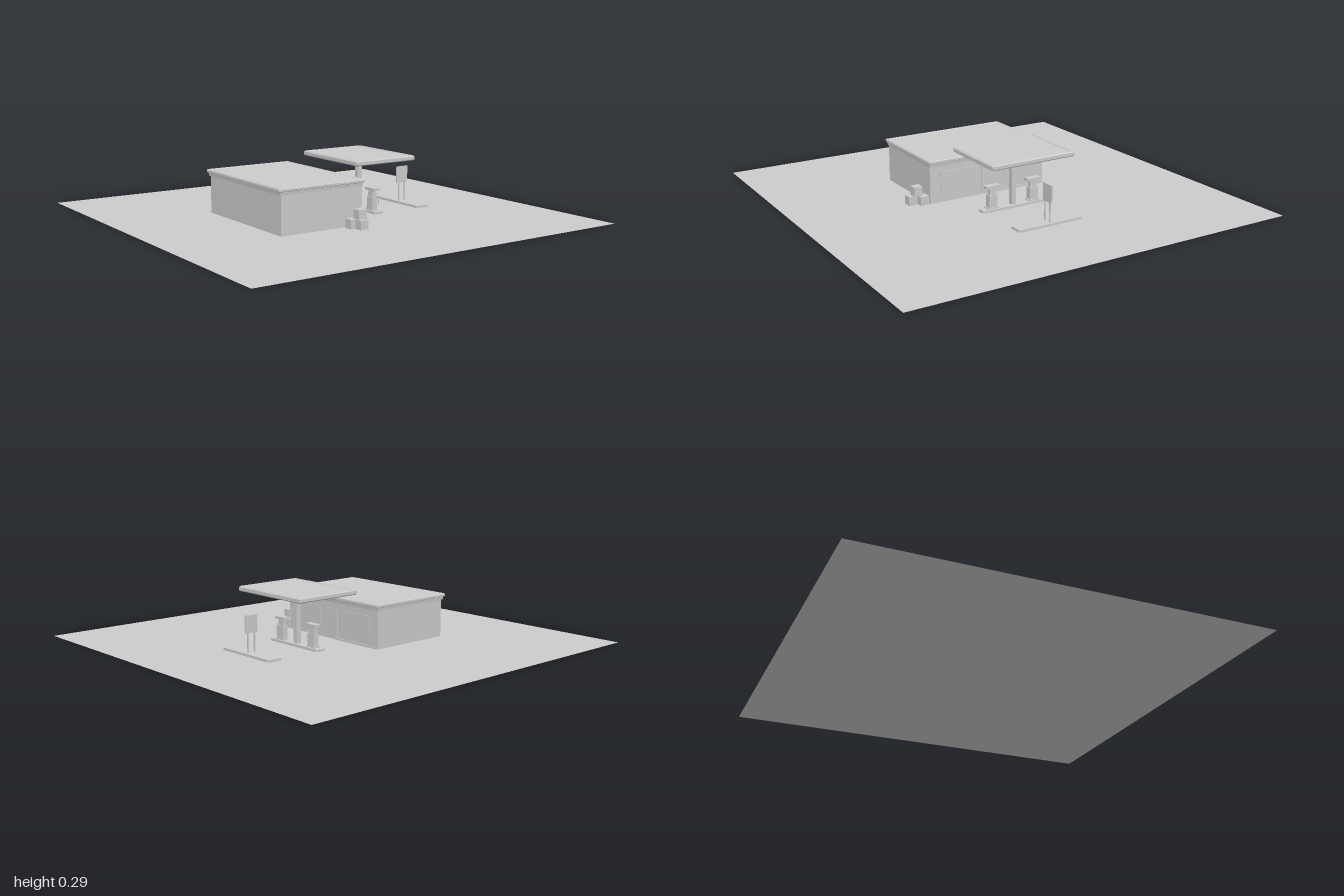
import * as THREE from 'three';

const grey = new THREE.MeshStandardMaterial({ color: 0xcccccc, flatShading: true, side: THREE.DoubleSide });

function add(parent, name, geometry) {
  const mesh = new THREE.Mesh(geometry, grey);
  mesh.name = name;
  parent.add(mesh);
  return mesh;
}

// Box given by its lower and upper limits on each axis
function box(parent, name, x0, x1, y0, y1, z0, z1) {
  const mesh = add(parent, name, new THREE.BoxGeometry(x1 - x0, y1 - y0, z1 - z0));
  mesh.position.set((x0 + x1) / 2, (y0 + y1) / 2, (z0 + z1) / 2);
  return mesh;
}

// Rectangular slab whose edge follows a profile of [inset, y] steps, closed at both ends
function moulding(x0, x1, z0, z1, profile) {
  const pos = [], idx = [];
  for (const [i, y] of profile) {
    pos.push(x0 + i, y, z1 - i, x1 - i, y, z1 - i, x1 - i, y, z0 + i, x0 + i, y, z0 + i);
  }
  for (let r = 0; r < profile.length - 1; r++) {
    for (let k = 0; k < 4; k++) {
      const a = r * 4 + k, b = r * 4 + (k + 1) % 4;
      idx.push(a, b, b + 4, a, b + 4, a + 4);
    }
  }
  const t = (profile.length - 1) * 4;
  idx.push(0, 2, 1, 0, 3, 2, t, t + 1, t + 2, t, t + 2, t + 3);
  const g = new THREE.BufferGeometry();
  g.setAttribute('position', new THREE.Float32BufferAttribute(pos, 3));
  g.setIndex(idx);
  const flat = g.toNonIndexed();
  flat.computeVertexNormals();
  return flat;
}

// Low kerbed island with chamfered corners
function island(parent, name, x0, x1, z0, z1, h) {
  const c = 0.008;
  const s = new THREE.Shape([
    [x0 + c, z0], [x1 - c, z0], [x1, z0 + c], [x1, z1 - c],
    [x1 - c, z1], [x0 + c, z1], [x0, z1 - c], [x0, z0 + c],
  ].map(([x, z]) => new THREE.Vector2(x, -z)));
  const g = new THREE.ExtrudeGeometry(s, { depth: h, bevelEnabled: false });
  add(parent, name, g.rotateX(-Math.PI / 2));
}

function pump(z) {
  const p = new THREE.Group();
  p.name = 'fuelPump';
  box(p, 'pumpPlinth', 0.197, 0.235, 0.01, 0.018, -0.03, 0.03);
  box(p, 'pumpBody', 0.2, 0.23, 0.018, 0.08, -0.023, 0.023);
  box(p, 'pumpDisplay', 0.205, 0.225, 0.08, 0.113, -0.018, 0.018);
  box(p, 'pumpHeader', 0.198, 0.232, 0.113, 0.126, -0.037, 0.037);
  // Hose hanging from the header to the body
  const curve = new THREE.CatmullRomCurve3([
    [0.228, 0.1, 0.015], [0.24, 0.075, 0.018], [0.24, 0.04, 0.02], [0.23, 0.045, 0.02],
  ].map((v) => new THREE.Vector3(...v)));
  add(p, 'pumpHose', new THREE.TubeGeometry(curve, 10, 0.002, 5));
  p.position.z = z;
  return p;
}

export function createModel() {
  const model = new THREE.Group();
  model.name = 'fuelStation';

  // Ground
  add(model, 'ground', new THREE.PlaneGeometry(2, 2).rotateX(-Math.PI / 2));

  // Shop building
  const shop = new THREE.Group();
  shop.name = 'shop';
  box(shop, 'shopWalls', -0.455, -0.012, 0, 0.2, -0.315, 0.34);
  add(shop, 'shopRoof', moulding(-0.47, 0.005, -0.327, 0.35, [
    [0.008, 0.188], [0.006, 0.203], [0, 0.206], [0, 0.216], [0.004, 0.221],
    [0.012, 0.221], [0.015, 0.218],
  ]));
  box(shop, 'wallKerb', -0.012, -0.006, 0, 0.01, -0.315, 0);
  // Door and windows facing the pumps
  box(shop, 'door', -0.012, -0.008, 0.01, 0.155, -0.03, 0.05);
  for (const z of [-0.17, 0.19]) {
    box(shop, 'shopWindow', -0.012, -0.008, 0.06, 0.155, z - 0.09, z + 0.09);
  }
  model.add(shop);

  // Canopy over the pumps
  const canopy = new THREE.Group();
  canopy.name = 'canopy';
  add(canopy, 'canopyRoof', moulding(0.038, 0.397, -0.22, 0.236, [
    [0.006, 0.26], [0, 0.265], [0, 0.28], [0.005, 0.286], [0.011, 0.286], [0.014, 0.281],
  ]));
  box(canopy, 'canopyColumn', 0.202, 0.229, 0, 0.265, 0.001, 0.024);
  model.add(canopy);

  // Pump island
  island(model, 'pumpIsland', 0.19, 0.244, -0.165, 0.19, 0.012);
  model.add(pump(0.128), pump(-0.103));

  // Roadside sign
  const sign = new THREE.Group();
  sign.name = 'roadSign';
  island(sign, 'signIsland', 0.464, 0.541, -0.172, 0.182, 0.012);
  for (const x of [0.484, 0.522]) {
    box(sign, 'signPost', x - 0.003, x + 0.003, 0, 0.11, 0.002, 0.008);
  }
  box(sign, 'signPanel', 0.469, 0.537, 0.107, 0.192, 0.001, 0.009);
  model.add(sign);

  // Stacked crates beside the shop
  const crates = [[-0.087, 0, 0.373], [-0.062, 0, 0.418], [-0.033, 0, 0.37], [-0.054, 0.045, 0.392]];
  for (const [x, y, z] of crates) {
    box(model, 'crate', x - 0.022, x + 0.022, y, y + 0.045, z - 0.022, z + 0.022);
  }
  return model;
}
